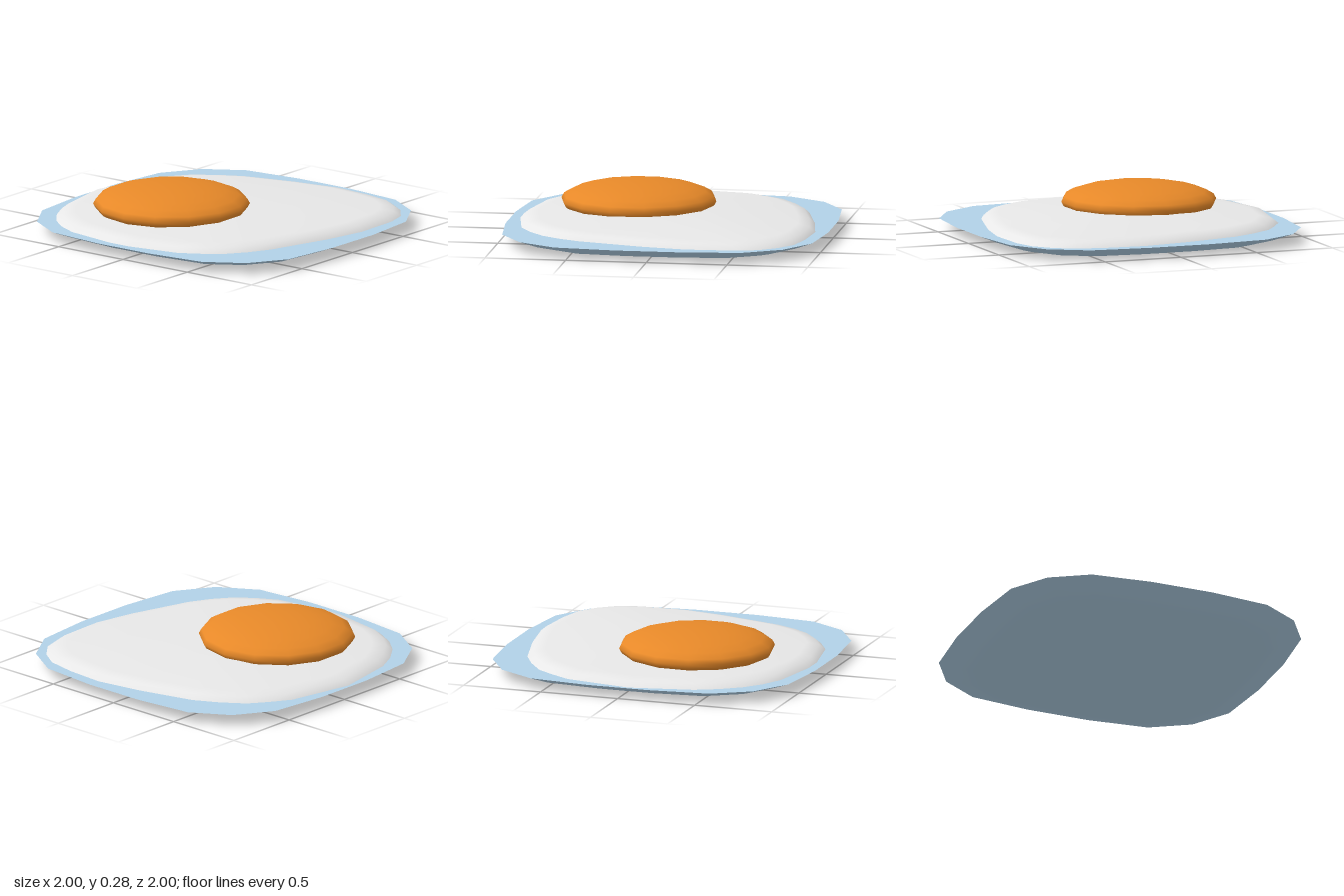
import * as THREE from 'three';

// Skin of scaled copies of one outline; rings are [scale, y], wound from below or outside
function loft(outline, rings) {
  const n = outline.length, pos = [], index = [];
  for (const [s, y] of rings) for (const [x, z] of outline) pos.push(x * s, y, z * s);
  for (let r = 0; r < rings.length - 1; r++) {
    for (let i = 0; i < n; i++) {
      const j = (i + 1) % n;
      const a = r * n + i, b = r * n + j, c = a + n, d = b + n;
      if (rings[r][0] > 0) index.push(a, c, b);
      if (rings[r + 1][0] > 0) index.push(b, c, d);
    }
  }
  const g = new THREE.BufferGeometry();
  g.setAttribute('position', new THREE.Float32BufferAttribute(pos, 3));
  g.setIndex(index);
  g.computeVertexNormals();
  return g;
}

export function createModel() {
  const group = new THREE.Group();
  const material = (name, color) => {
    const m = new THREE.MeshStandardMaterial({ color });
    m.name = name;
    return m;
  };
  const plateBlue = material('plate blue', 0xb4d4ea);
  const eggWhite = material('egg white', 0xefefef);
  const yolkOrange = material('yolk orange', 0xee8d2a);
  const add = (name, geometry, mat) => {
    const m = new THREE.Mesh(geometry, mat);
    m.name = name;
    group.add(m);
    return m;
  };

  // Rounded-square plate outline: one corner turned four times
  const corner = [[0.2, -1], [0.58, -0.96], [0.815, -0.815], [0.96, -0.58], [1, -0.2]];
  const plateOutline = [];
  for (let q = 0; q < 4; q++) {
    for (let [x, z] of corner) {
      for (let k = 0; k < q; k++) [x, z] = [-z, x];
      plateOutline.push([x, z]);
    }
  }
  add('plateUnderside', loft(plateOutline, [[0, 0], [0.8, 0], [0.88, 0.022], [1, 0.07]]), plateBlue);
  add('plateTop', loft(plateOutline, [[1, 0.07], [0, 0.07]]), plateBlue);

  // Irregular egg white with a rounded edge and gently domed top
  const whiteOutline = [
    [-0.06, -0.98], [0.36, -0.9], [0.49, -0.82], [0.6, -0.74], [0.7, -0.6], [0.78, -0.45],
    [0.87, -0.1], [0.92, 0.2], [0.9, 0.45], [0.86, 0.64], [0.78, 0.76], [0.67, 0.85],
    [0.53, 0.89], [0.22, 0.9], [-0.05, 0.85], [-0.46, 0.73], [-0.6, 0.66], [-0.71, 0.58],
    [-0.8, 0.47], [-0.88, 0.33], [-0.94, 0], [-0.94, -0.15], [-0.88, -0.49], [-0.81, -0.63],
    [-0.72, -0.74], [-0.6, -0.83], [-0.46, -0.9],
  ];
  add('eggWhite', loft(whiteOutline,
    [[1, 0.07], [0.96, 0.1], [0.88, 0.116], [0.4, 0.138], [0, 0.14]]), eggWhite);

  // Flattened yolk, off centre
  const yolk = add('yolk', new THREE.SphereGeometry(1, 14, 12), yolkOrange);
  yolk.scale.set(0.48, 0.115, 0.48);
  yolk.position.set(-0.24, 0.165, -0.22);

  return group;
}
